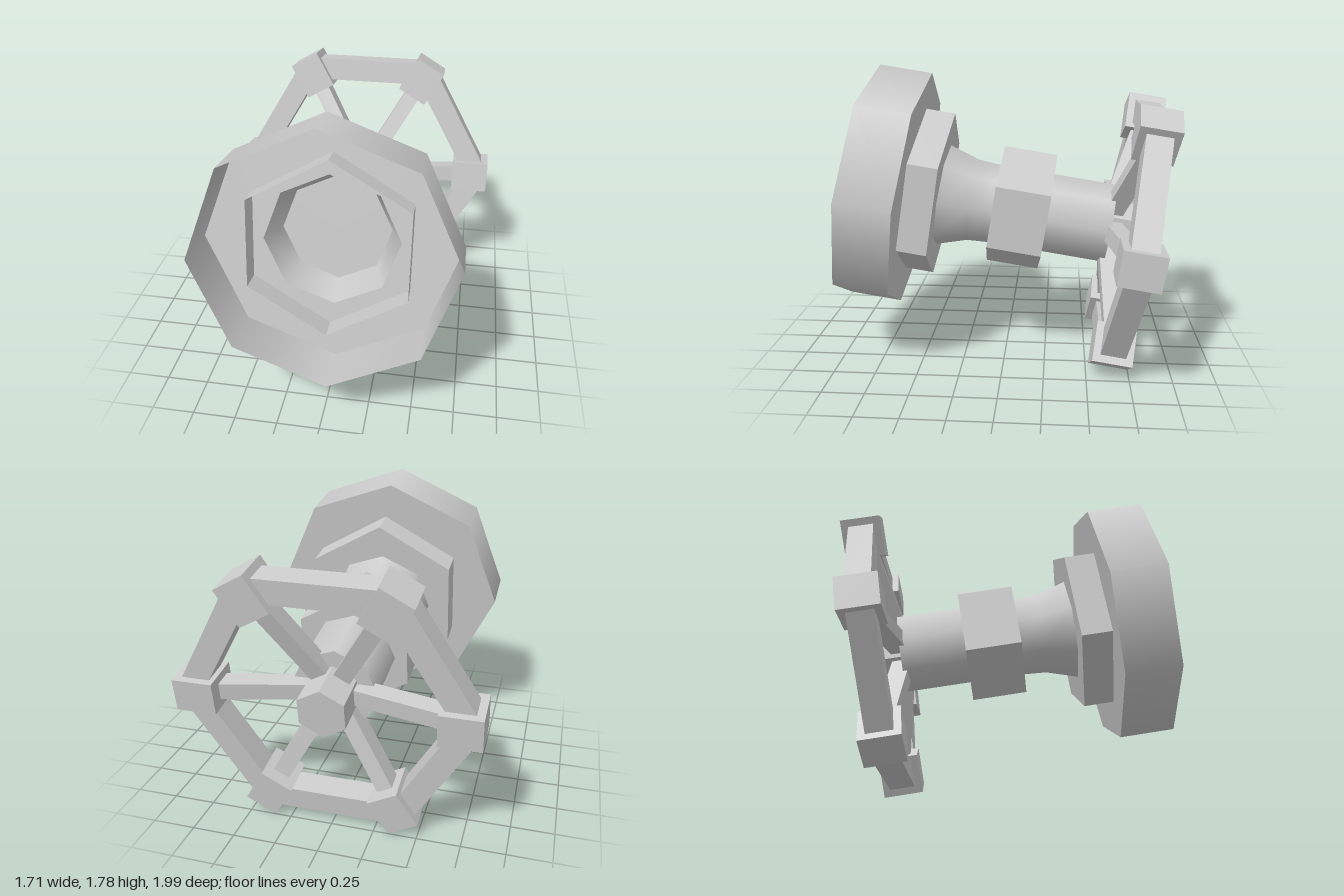
import * as THREE from 'three';

const deg = THREE.MathUtils.degToRad;
const smooth = new THREE.MeshStandardMaterial({ color: 0xcccccc, side: THREE.DoubleSide });
const flat = new THREE.MeshStandardMaterial({ color: 0xcccccc, side: THREE.DoubleSide, flatShading: true });
const TWIST = deg(3); // slight turn of the eight-sided parts

function add(parent, name, geometry, material, x = 0, y = 0, z = 0) {
  const mesh = new THREE.Mesh(geometry, material);
  mesh.name = name;
  mesh.position.set(x, y, z);
  parent.add(mesh);
  return mesh;
}

// Prism along the pipe axis, from depth s0 back to depth s1
function prism(parent, name, sides, radius, s0, s1, open, material, turn = 0) {
  const g = new THREE.CylinderGeometry(radius, radius, s1 - s0, sides, 1, open, turn);
  g.rotateX(Math.PI / 2);
  return add(parent, name, g, material, 0, 0, -(s0 + s1) / 2);
}

export function createModel() {
  const model = new THREE.Group();
  model.name = 'valve';

  // Tilted assembly: the pipe axis is local z, its origin is the flange mouth
  const valve = new THREE.Group();
  valve.name = 'tiltedValve';
  valve.rotation.x = deg(-9);
  valve.position.set(0.005, 1.075, 0.885);
  model.add(valve);

  // Flange: open thin-walled cup with a pierced back plate
  prism(valve, 'flangeRim', 8, 0.73, 0, 0.321, true, smooth, TWIST);
  add(valve, 'flangePlate', new THREE.RingGeometry(0.3875, 0.73, 8, 1, TWIST), flat, 0, 0, -0.321);

  // Hexagonal collar through the flange, closed at the back
  prism(valve, 'collarWall', 6, 0.516, 0.18, 0.498, true, flat);
  add(valve, 'collarBack', new THREE.CircleGeometry(0.516, 6, deg(30)), flat, 0, 0, -0.498);

  // Flared neck running into the straight pipe
  const profile = [[0.3875, 0.321], [0.317, 0.498], [0.258, 0.684], [0.248, 0.835], [0.247, 1.535]]
    .map(([r, s]) => new THREE.Vector2(r, -s)).reverse();
  const neck = new THREE.LatheGeometry(profile, 8, TWIST);
  neck.rotateX(Math.PI / 2);
  add(valve, 'neckAndPipe', neck, smooth);
  add(valve, 'pipeEnd', new THREE.CircleGeometry(0.247, 8, TWIST), flat, 0, 0, -1.535);

  // Hexagonal nut on the pipe
  prism(valve, 'nut', 6, 0.37, 0.826, 1.15, false, flat);

  // Handwheel
  prism(valve, 'wheelHub', 6, 0.15, 1.5, 1.775, false, flat);
  const wheel = new THREE.Group();
  wheel.name = 'handwheel';
  wheel.position.z = -1.66;
  valve.add(wheel);

  const knob = new THREE.BoxGeometry(0.235, 0.197, 0.235);
  const bar = new THREE.BoxGeometry(0.14, 0.72, 0.15);
  const spoke = new THREE.BoxGeometry(0.66, 0.1, 0.11);
  for (let i = 0; i < 6; i++) {
    const arm = new THREE.Group();
    arm.name = 'wheelArm';
    arm.rotation.z = deg(60 * i);
    wheel.add(arm);
    add(arm, 'rimJoint', knob, flat, 0.735);
    // Spokes lean forward towards the hub
    add(arm, 'spoke', spoke, flat, 0.375, 0, 0.067).rotation.y = Math.atan(0.145 / 0.7);

    const side = new THREE.Group();
    side.name = 'wheelSide';
    side.rotation.z = deg(60 * i + 30);
    wheel.add(side);
    add(side, 'rimBar', bar, flat, 0.68);
  }
  return model;
}
